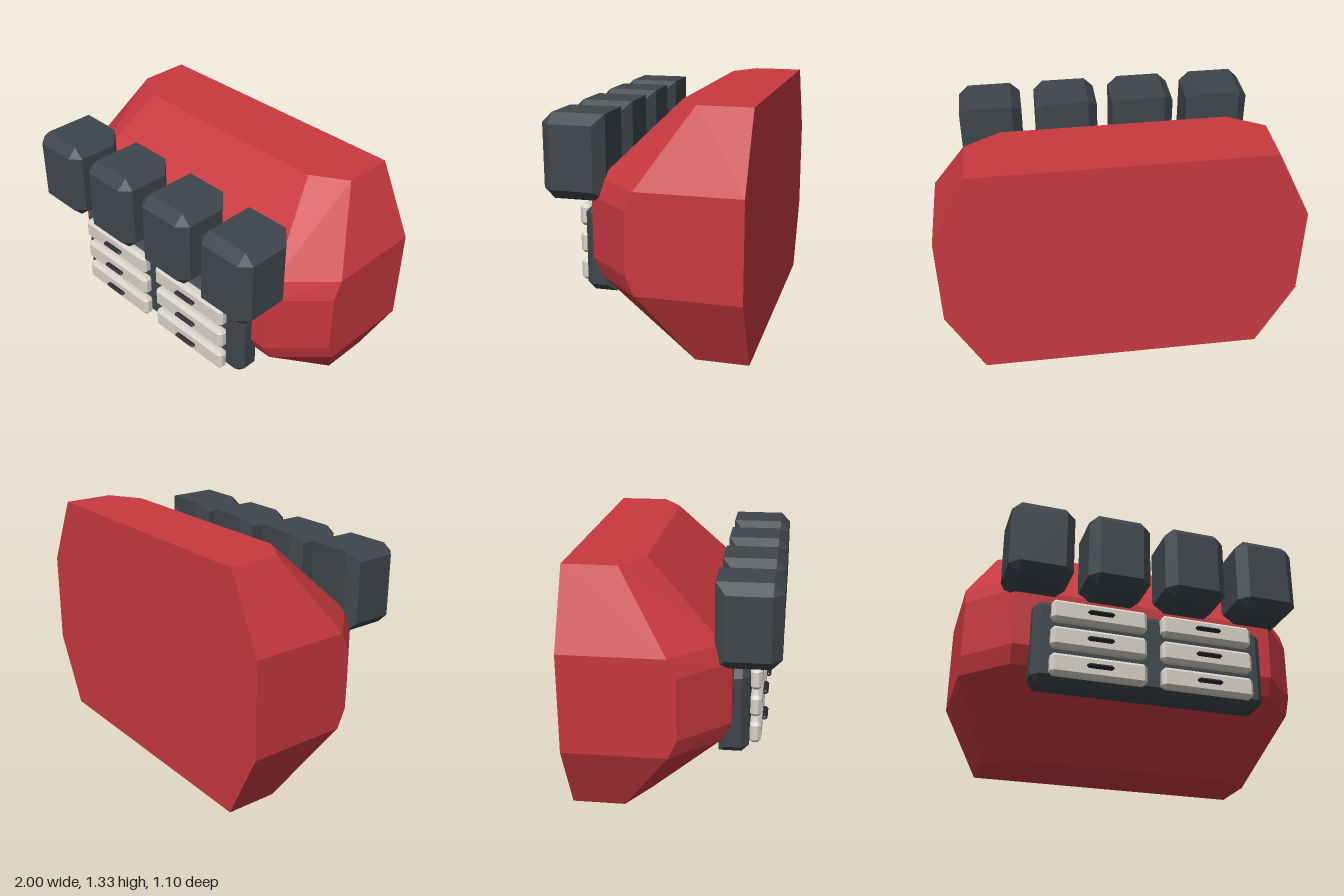
import * as THREE from 'three';
import { ConvexGeometry } from 'three/addons/geometries/ConvexGeometry.js';

const material = (name, color) => {
  const m = new THREE.MeshStandardMaterial({ color });
  m.name = name;
  return m;
};

// Convex solid from points, mirrored in x and flipped about height cy when asked
function hull(points, cy) {
  const all = [];
  for (const [x, y, z] of points)
    for (const sx of [-1, 1])
      for (const sy of [-1, 1]) all.push(new THREE.Vector3(sx * x, cy + sy * y, z));
  return new ConvexGeometry(all);
}

// Chamfered block w x h x d centred on the origin; back stays full height if squareBack
function block(w, h, d, c, squareBack) {
  const x = w / 2, y = h / 2, z = d / 2;
  return hull([
    [x - c, y - c, z],
    [x, y - c, z - c], [x, y - c, -z + c],
    [x - c, y, z - c],
    ...(squareBack ? [[x - c, y, -z]] : [[x - c, y, -z + c], [x - c, y - c, -z]]),
  ], 0);
}

export function createModel() {
  const model = new THREE.Group();
  const red = material('red shell', 0xc8393f);
  const charcoal = material('charcoal', 0x3f464c);
  const cream = material('cream drawer', 0xd8d3c9);
  const black = material('black handle', 0x2a2b30);

  const add = (name, geometry, mat, x = 0, y = 0, z = 0) => {
    const mesh = new THREE.Mesh(geometry, mat);
    mesh.name = name;
    mesh.position.set(x, y, z);
    model.add(mesh);
  };

  // Faceted shell, heights measured from its middle
  add('body', hull([
    [0.8, 0.667, -0.55], [1, 0.267, -0.55],
    [0.8, 0.667, -0.265], [0.61, 0.667, -0.15],
    [1, 0.267, 0], [0.76, 0.267, 0.25],
    [1, 0.167, 0.045], [0.76, 0.167, 0.3],
  ], 0.667), red);

  // Row of four upper blocks
  const upper = block(0.357, 0.452, 0.34, 0.055, true);
  for (const x of [-0.661, -0.223, 0.223, 0.661])
    add('upperBlock', upper, charcoal, x, 1.041, 0.38);

  // Drawer cabinet with two columns of three drawers
  add('cabinet', block(1.334, 0.478, 0.162, 0.04, true), charcoal, 0, 0.509, 0.304);
  const drawer = block(0.535, 0.122, 0.066, 0.019, false);
  const handle = block(0.15, 0.025, 0.034, 0.012, false);
  for (const x of [-0.312, 0.308])
    for (const y of [0.354, 0.511, 0.668]) {
      add('drawer', drawer, cream, x, y, 0.414);
      add('drawerHandle', handle, black, x, y, 0.458);
    }
  return model;
}
